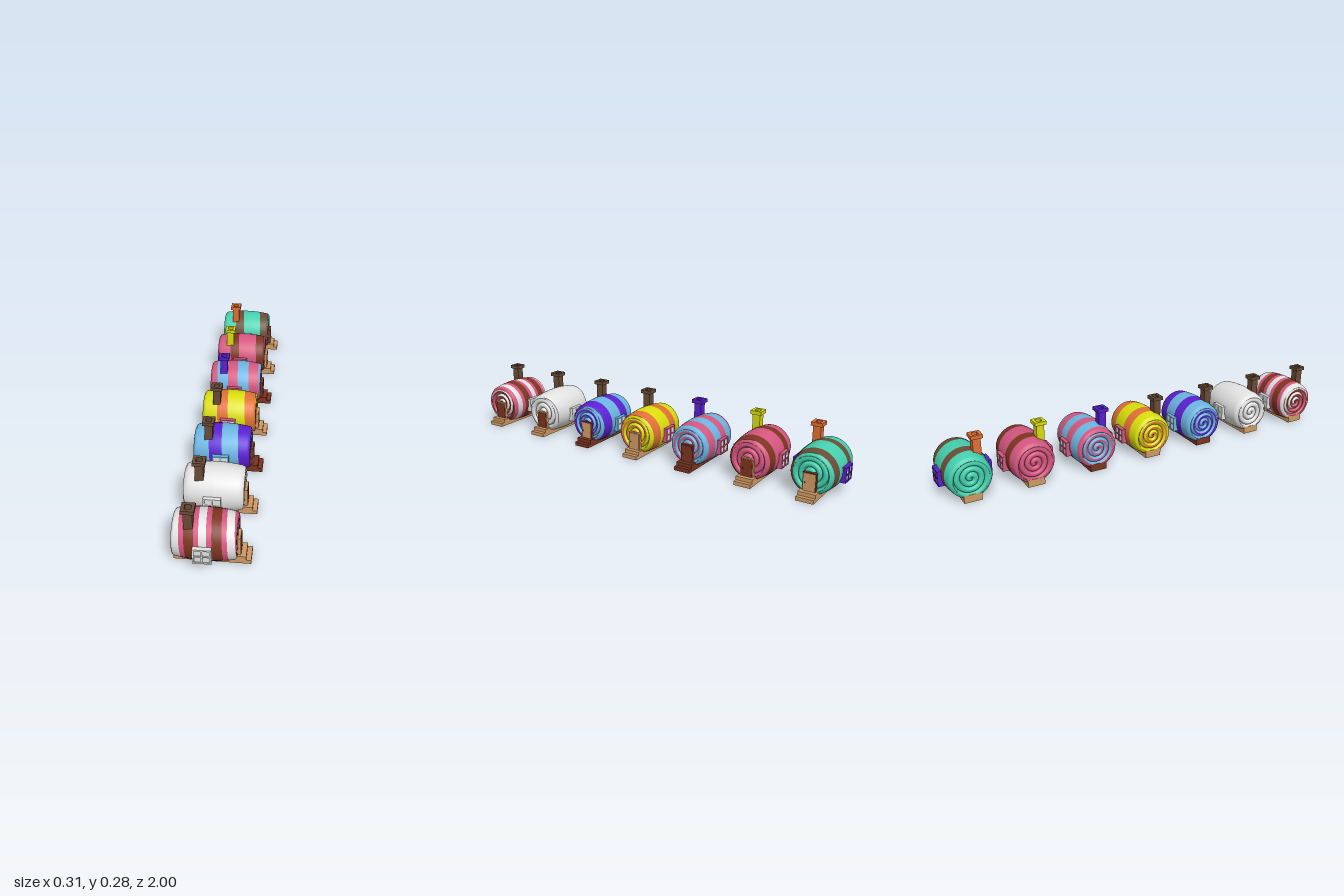
import * as THREE from 'three';
import { mergeGeometries } from 'three/addons/utils/BufferGeometryUtils.js';

const mats = {};
const palette = {
  white: 0xe2e2e2, pink: 0xd4567f, redBrown: 0x7c3420, tan: 0xd09a64, blue: 0x6cb4e0,
  purple: 0x5a20d0, yellow: 0xd9dd0c, orange: 0xe07034, teal: 0x45cfae, darkBrown: 0x6a4c36,
};
for (const [name, color] of Object.entries(palette)) {
  mats[name] = new THREE.MeshStandardMaterial({ color });
  mats[name].name = name;
}

const HALF = 0.127, MID_X = -0.027, MID_Y = 0.108, RIM = 0.08;
const clamp = THREE.MathUtils.clamp;

// Seven rolled barrel houses: stripes repeat along the barrel from x = start
const houses = [
  { z: 0.88, start: -0.109, stripes: [['redBrown', 0.038], ['pink', 0.02], ['white', 0.03], ['pink', 0.02]],
    ends: ['pink', 'redBrown', 'white'], chimney: 'darkBrown', frame: 'white', base: 'tan', door: 'redBrown', jamb: 'tan' },
  { z: 0.587, start: -0.16, stripes: [['white', 0.13]],
    ends: ['white'], chimney: 'darkBrown', frame: 'white', base: 'tan', door: 'redBrown', jamb: 'tan' },
  { z: 0.295, start: -0.09, stripes: [['purple', 0.058], ['blue', 0.072]],
    ends: ['blue', 'purple', 'blue'], chimney: 'darkBrown', frame: 'blue', base: 'redBrown', door: 'tan', jamb: 'redBrown' },
  { z: 0.005, start: -0.09, stripes: [['orange', 0.052], ['yellow', 0.08]],
    ends: ['yellow', 'orange', 'yellow'], chimney: 'darkBrown', frame: 'pink', base: 'tan', door: 'tan', jamb: 'tan' },
  { z: -0.287, start: -0.07, stripes: [['pink', 0.05], ['blue', 0.055]],
    ends: ['blue', 'pink', 'blue'], chimney: 'purple', frame: 'pink', base: 'redBrown', door: 'redBrown', jamb: 'redBrown' },
  { z: -0.592, start: -0.09, stripes: [['redBrown', 0.045], ['pink', 0.092]],
    ends: ['pink'], chimney: 'yellow', frame: 'pink', base: 'tan', door: 'redBrown', jamb: 'tan' },
  { z: -0.88, start: -0.09, stripes: [['darkBrown', 0.045], ['teal', 0.092]],
    ends: ['teal'], chimney: 'orange', frame: 'purple', base: 'tan', door: 'tan', jamb: 'redBrown' },
];

function mesh(parent, name, geometry, color, x = 0, y = 0, z = 0) {
  const m = new THREE.Mesh(geometry, mats[color]);
  m.name = name;
  m.position.set(x, y, z);
  parent.add(m);
  return m;
}

// Box given by its limits
function block(parent, name, color, x0, x1, y0, y1, z0, z1) {
  return mesh(parent, name, new THREE.BoxGeometry(x1 - x0, y1 - y0, z1 - z0), color,
    (x0 + x1) / 2, (y0 + y1) / 2, (z0 + z1) / 2);
}

// Curved grid from a rule (u, v) -> [x, y, z]
function patch(rule, nu, nv) {
  const pos = [], index = [];
  for (let j = 0; j <= nv; j++) {
    for (let i = 0; i <= nu; i++) {
      pos.push(...rule(i / nu, j / nv));
      if (i < nu && j < nv) {
        const a = j * (nu + 1) + i, b = a + nu + 1;
        index.push(a, b, a + 1, a + 1, b, b + 1);
      }
    }
  }
  const g = new THREE.BufferGeometry();
  g.setAttribute('position', new THREE.Float32BufferAttribute(pos, 3));
  g.setIndex(index);
  g.computeVertexNormals();
  return g;
}

const ringPoint = (x, r, a) => [MID_X + x, MID_Y + r * Math.cos(a), r * Math.sin(a)];

// Bulging barrel with rounded rims
function barrelRadius(x) {
  const d = Math.min(1, Math.max(0, Math.abs(x) - 0.115) / 0.012);
  return 0.105 - 0.013 * (x / HALF) ** 2 - 0.012 * (1 - Math.sqrt(1 - d * d));
}

// Slanted stripe wrapped around the barrel
function stripe(x0, x1) {
  return patch((u, v) => {
    const a = (v * 2 - 1) * Math.PI;
    const x = clamp(x0 + (x1 - x0) * u + 0.0064 * a - MID_X, -HALF, HALF);
    return ringPoint(x, barrelRadius(x), a);
  }, 10, 44);
}

// Part of the rounded spiral ridge on one end, between phases f0 and f1
function spiral(side, f0, f1) {
  const pitch = RIM / 3, turns = 4;
  return patch((u, v) => {
    const f = f0 + (f1 - f0) * (side > 0 ? 1 - u : u);
    const r = clamp(pitch * (f + v * turns - 1), 0, RIM);
    const notch = 0.012 * Math.abs(2 * f - 1) ** 3 * Math.min(1, (RIM - r) / 0.008);
    return ringPoint(side * (HALF - notch), r, v * turns * Math.PI * 2);
  }, f1 - f0 > 0.5 ? 10 : 4, 128);
}

function rectPath(path, x, y, w, h) {
  path.moveTo(x - w / 2, y - h / 2);
  path.lineTo(x + w / 2, y - h / 2);
  path.lineTo(x + w / 2, y + h / 2);
  path.lineTo(x - w / 2, y + h / 2);
  path.closePath();
  return path;
}

// Rectangle with rectangular holes, extruded
function pierced(w, h, holes, depth) {
  const shape = rectPath(new THREE.Shape(), 0, 0, w, h);
  for (const q of holes) shape.holes.push(rectPath(new THREE.Path(), ...q));
  return new THREE.ExtrudeGeometry(shape, { depth, bevelEnabled: false });
}

function addRoll(house, h) {
  const roll = new THREE.Group();
  roll.name = 'barrel';
  house.add(roll);
  const parts = {};
  const add = (color, g) => (parts[color] ??= []).push(g);
  const period = h.stripes.reduce((sum, s) => sum + s[1], 0);
  let x = h.start;
  while (x > -0.18) x -= period;
  while (x < 0.125) {
    for (const [color, w] of h.stripes) {
      if (x + w > -0.175 && x < 0.121) add(color, stripe(x, x + w));
      x += w;
    }
  }
  const n = h.ends.length;
  for (const side of [-1, 1]) h.ends.forEach((c, i) => add(c, spiral(side, i / n, (i + 1) / n)));
  for (const c in parts) mesh(roll, c + 'Stripes', mergeGeometries(parts[c]), c);
}

function addWindow(house, h, side) {
  const win = new THREE.Group();
  win.name = side > 0 ? 'frontWindow' : 'backWindow';
  win.position.set(-0.029, 0.095, 0);
  if (side < 0) win.rotation.y = Math.PI;
  const holes = [];
  for (const sx of [-1, 1]) for (const sy of [-1, 1]) holes.push([sx * 0.0165, sy * 0.0155, 0.027, 0.026]);
  mesh(win, 'windowFrame', pierced(0.074, 0.07, holes, 0.028), h.frame, 0, 0, 0.092);
  block(win, 'windowPanes', 'white', -0.035, 0.035, -0.033, 0.033, 0.108, 0.1165);
  house.add(win);
}

function addChimney(house, h) {
  const chimney = new THREE.Group();
  chimney.name = 'chimney';
  chimney.position.set(-0.086, 0, 0.05);
  const hole = [[0, 0, 0.026, 0.026]];
  mesh(chimney, 'stack', pierced(0.036, 0.036, hole, 0.082), h.chimney, 0, 0.18, 0).rotation.x = -Math.PI / 2;
  mesh(chimney, 'chimneyCap', pierced(0.053, 0.053, hole, 0.017), h.chimney, 0, 0.262, 0).rotation.x = -Math.PI / 2;
  house.add(chimney);
}

export function createModel() {
  const model = new THREE.Group();
  model.name = 'barrelHouses';
  for (const h of houses) {
    const house = new THREE.Group();
    house.name = 'house';
    house.position.z = h.z;
    addRoll(house, h);
    addChimney(house, h);
    for (const side of [1, -1]) addWindow(house, h, side);
    // Base and steps
    block(house, 'base', h.base, -0.154, 0.134, 0, 0.035, -0.04, 0.04);
    block(house, 'lowerStep', h.base, 0.134, 0.154, 0, 0.018, -0.04, 0.04);
    // Door
    block(house, 'doorFrame', h.jamb, 0.08, 0.111, 0.035, 0.118, -0.03, 0.03);
    block(house, 'door', h.door, 0.109, 0.113, 0.035, 0.114, -0.0265, 0.0265);
    mesh(house, 'doorKnob', new THREE.SphereGeometry(0.003, 10, 8), 'darkBrown', 0.116, 0.073, 0.018);
    model.add(house);
  }
  return model;
}
